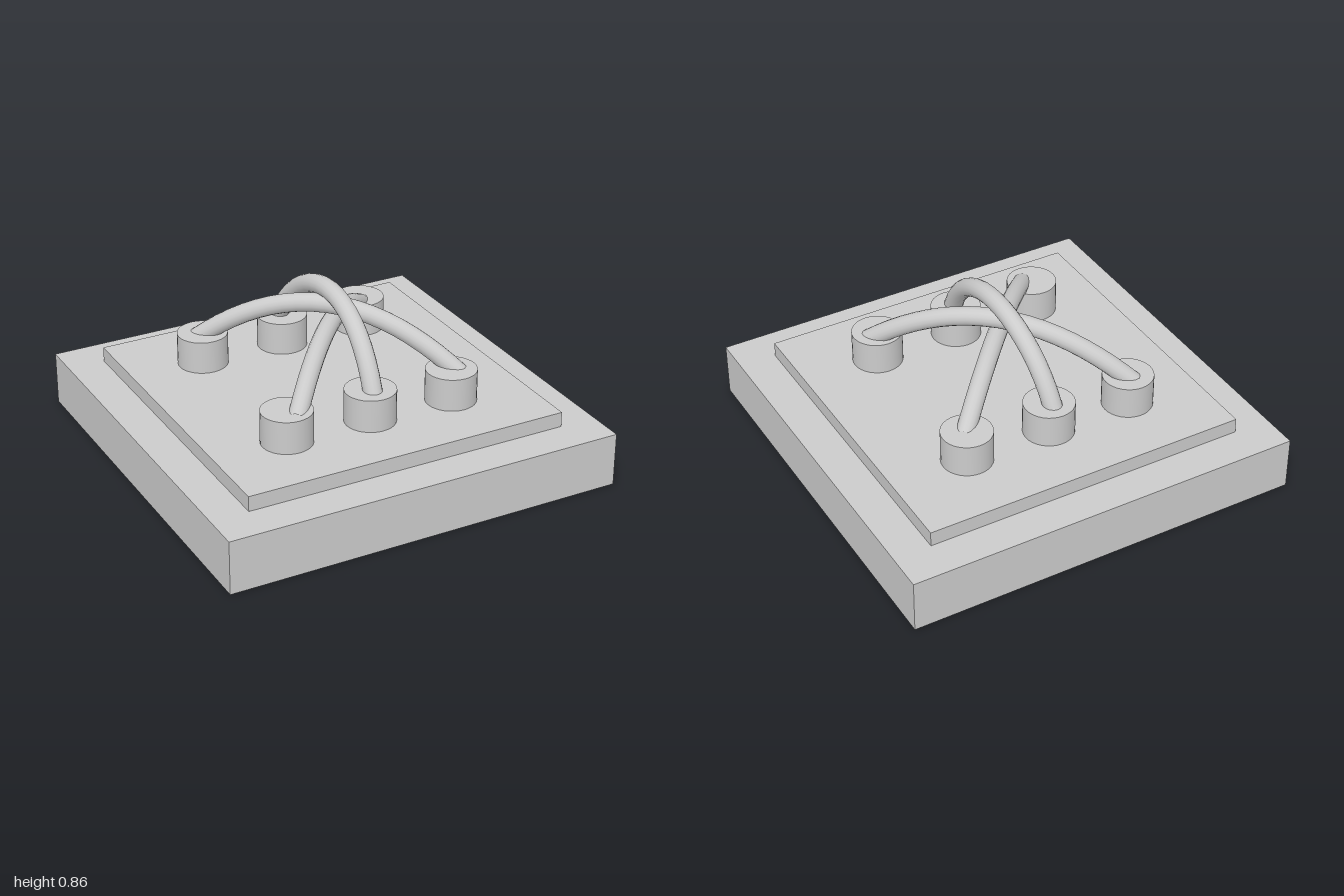
import * as THREE from 'three';

const material = new THREE.MeshStandardMaterial({ color: 0xcccccc });

function add(group, name, geometry, x = 0, y = 0, z = 0) {
  const mesh = new THREE.Mesh(geometry, material);
  mesh.name = name;
  mesh.position.set(x, y, z);
  group.add(mesh);
}

// Arched cable: from, mid and to are [x, z]; the height follows rise(t), t in -1..1
function cableGeometry(from, mid, to, rise) {
  const points = [];
  for (let i = 0; i <= 16; i++) {
    const t = i / 8 - 1;
    const at = (k) => mid[k] * (1 - t * t) + from[k] * t * (t - 1) / 2 + to[k] * t * (t + 1) / 2;
    points.push(new THREE.Vector3(at(0), rise(t), at(1)));
  }
  return new THREE.TubeGeometry(new THREE.CatmullRomCurve3(points), 20, 0.046, 16);
}

export function createModel() {
  const model = new THREE.Group();
  model.name = 'terminalBlock';

  // Stepped base
  add(model, 'base', new THREE.BoxGeometry(2, 0.267, 2), 0, 0.1335, 0);
  add(model, 'plate', new THREE.BoxGeometry(1.63, 0.075, 1.63), 0, 0.3045, 0);

  // Two rows of three posts
  const post = new THREE.CylinderGeometry(0.124, 0.124, 0.165, 32);
  for (const [row, z] of [['back', -0.443], ['front', 0.455]]) {
    for (const [side, x] of [['Right', -0.443], ['Middle', -0.01], ['Left', 0.425]]) {
      add(model, `${row}${side}Post`, post, x, 0.4225, z);
    }
  }

  // Three crossing cables, each at its own height, with the ends sunk in the posts
  const parabola = (top, drop) => (t) => top - drop * t * t;
  const fullArch = (t) => 0.812 - 0.27 * t * t - 0.09 * t ** 6;
  add(model, 'middleCable', cableGeometry([-0.018, -0.49], [0.02, 0], [-0.012, 0.5], fullArch));
  add(model, 'highCable', cableGeometry([-0.46, -0.47], [0.02, -0.025], [0.47, 0.46], parabola(0.73, 0.26)));
  add(model, 'lowCable', cableGeometry([-0.42, 0.51], [0.02, -0.005], [0.43, -0.43], parabola(0.624, 0.155)));
  return model;
}
